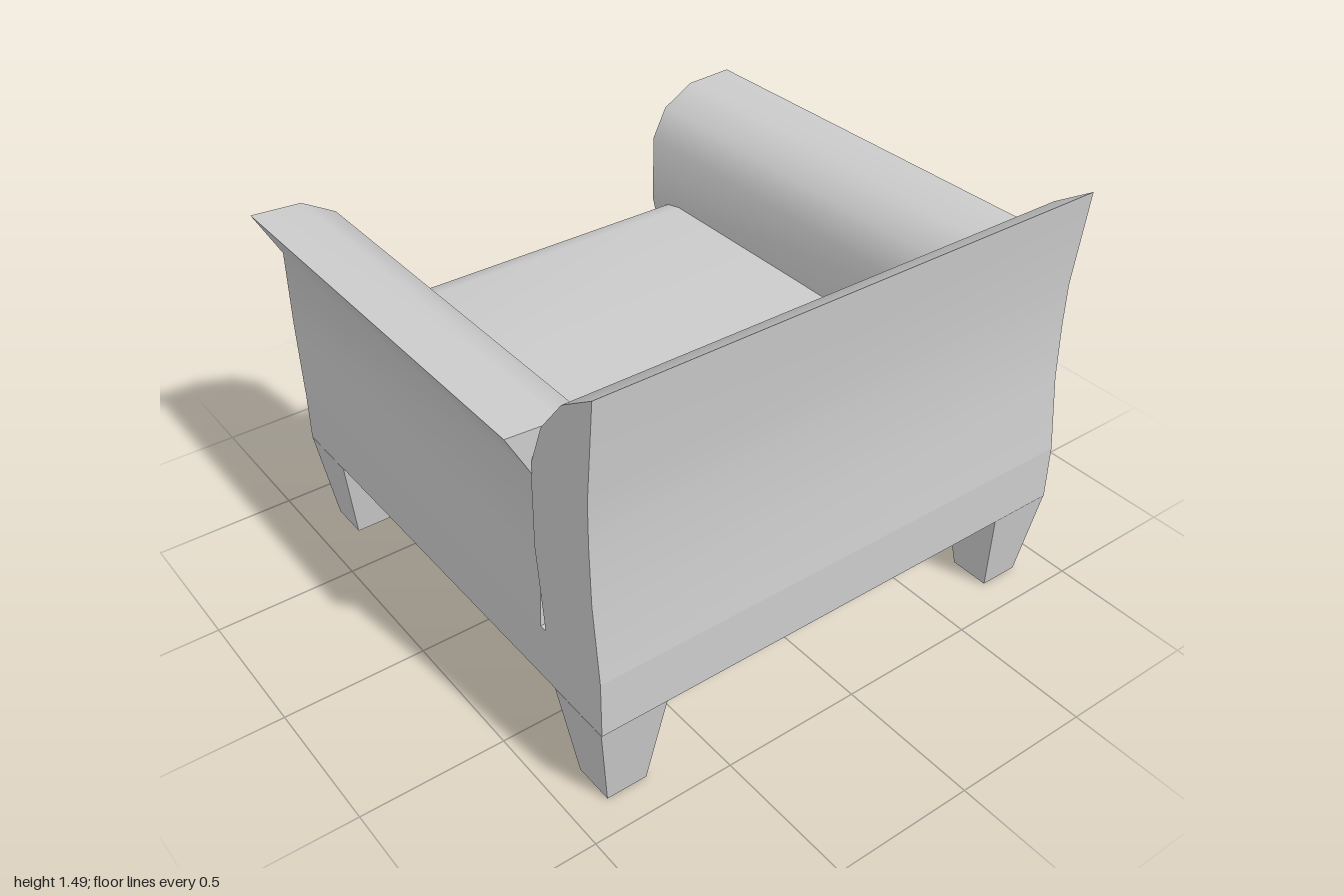
import * as THREE from 'three';
import { toCreasedNormals } from 'three/addons/utils/BufferGeometryUtils.js';

const material = new THREE.MeshStandardMaterial({ color: 0xcccccc });

// Extrude a closed profile along z, starting at z = 0
function extrude(points, depth) {
  const shape = new THREE.Shape(points.map(([u, v]) => new THREE.Vector2(u, v)));
  return new THREE.ExtrudeGeometry(shape, { depth, bevelEnabled: false });
}

// Extrude a (z, y) profile across the width, centred on x = 0
function extrudeAcross(points, width) {
  return extrude(points, width).translate(0, 0, -width / 2).rotateY(-Math.PI / 2);
}

export function createModel() {
  const group = new THREE.Group();
  group.name = 'armchair';
  const add = (name, geometry, crease = 0.7) => {
    const mesh = new THREE.Mesh(toCreasedNormals(geometry, crease), material);
    mesh.name = name;
    group.add(mesh);
    return mesh;
  };

  // Base frame
  add('base', new THREE.BoxGeometry(1.84, 0.2, 1.81)).position.set(0, 0.43, 0.025);

  // Seat cushion with a rounded front edge
  add('seatCushion', extrudeAcross([
    [0.68, 0.52], [0.68, 0.805], [-0.1, 0.81], [-0.76, 0.81], [-0.83, 0.795],
    [-0.862, 0.765], [-0.882, 0.7], [-0.88, 0.62], [-0.865, 0.52],
  ], 1.32));

  // Backrest with a hollow rear face and a top that flares backwards
  add('backrest', extrudeAcross([
    [0.93, 0.53], [0.90, 0.8], [0.894, 1.0], [0.895, 1.15], [0.93, 1.49],
    [0.79, 1.40], [0.685, 1.27], [0.623, 1.11], [0.62, 0.82], [0.655, 0.53],
  ], 1.84));

  // Arms: outward flaring tops, fronts leaning forward above the base
  const armProfile = [
    [0.92, 0.53], [0.908, 0.78], [0.908, 1.06], [1.0, 1.232],
    [0.82, 1.222], [0.70, 1.152], [0.643, 1.04], [0.64, 0.78], [0.668, 0.53],
  ];
  for (const side of [1, -1]) {
    const arm = extrude(armProfile.map(([x, y]) => [x * side, y]), 1.555);
    arm.translate(0, 0, -0.927);
    const p = arm.attributes.position;
    for (let i = 0; i < p.count; i++) {
      if (p.getZ(i) < 0) {
        const lean = THREE.MathUtils.clamp((0.78 - p.getY(i)) / 0.25, 0, 1);
        p.setZ(i, p.getZ(i) + 0.045 * lean);
      }
    }
    add(side > 0 ? 'leftArm' : 'rightArm', arm);
  }

  // Four square tapered legs
  for (const x of [-0.803, 0.803]) {
    for (const z of [-0.758, 0.81]) {
      const leg = new THREE.BoxGeometry(0.236, 0.33, 0.236);
      const p = leg.attributes.position;
      for (let i = 0; i < p.count; i++) {
        if (p.getY(i) < 0) p.setXYZ(i, p.getX(i) * 0.61, p.getY(i), p.getZ(i) * 0.61);
      }
      add('leg', leg).position.set(x, 0.165, z);
    }
  }
  return group;
}
